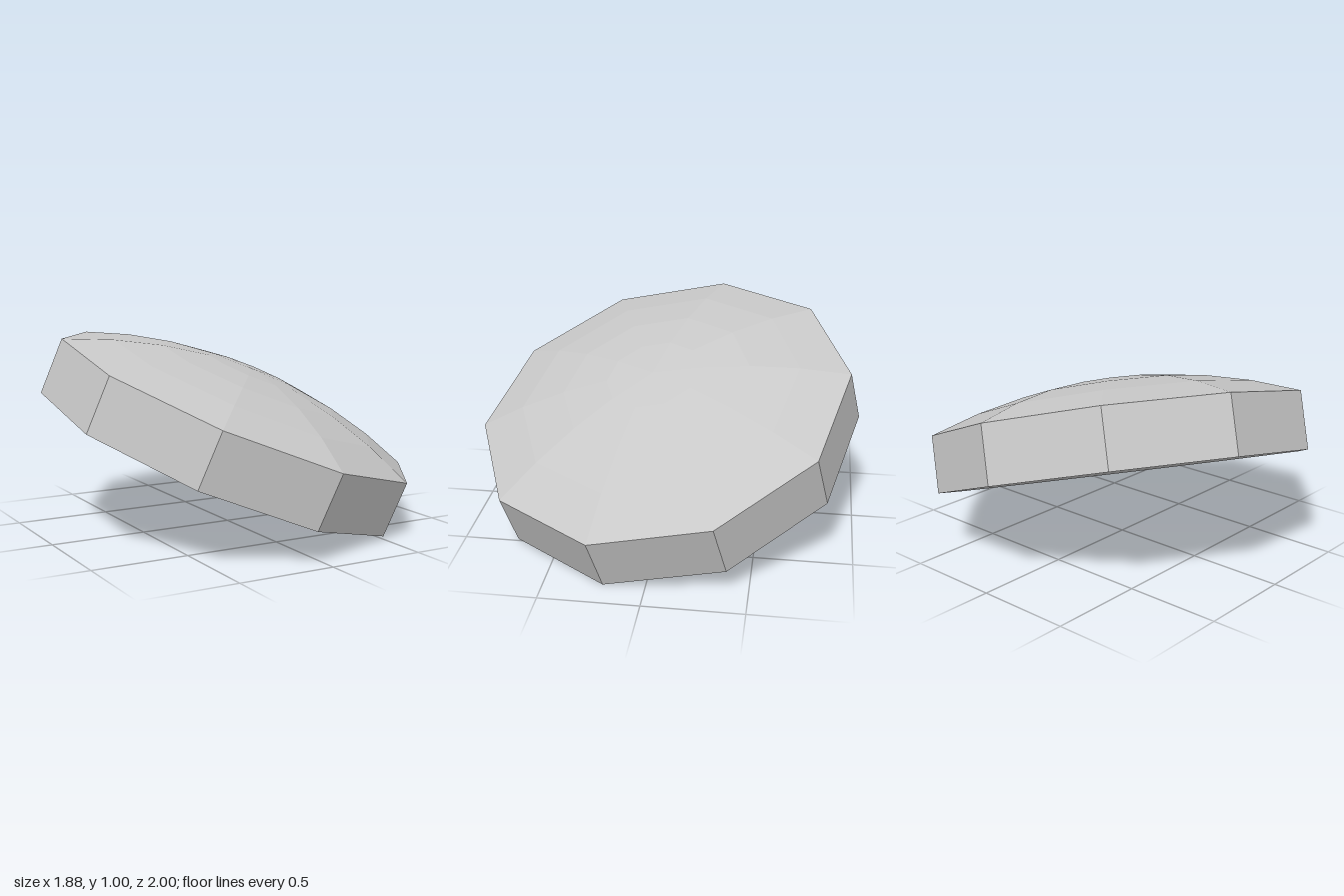
import * as THREE from 'three';

export function createModel() {
  const SIDES = 10, RADIUS = 0.993, HALF = 0.149, RISE = 0.2, RINGS = 4;
  const stone = new THREE.MeshStandardMaterial({ color: 0xc8c8c8, flatShading: true });
  stone.name = 'light stone grey';

  const model = new THREE.Group();
  model.name = 'domedDisc';

  // Tilted body: ten-sided, with one corner towards the front
  const disc = new THREE.Group();
  disc.name = 'tiltedDisc';
  disc.position.set(0, 0.503, 0);
  disc.rotation.set(0.206, 0, -0.332);
  model.add(disc);

  const addLathe = (name, profile) => {
    const points = profile.map(([r, y]) => new THREE.Vector2(r, y));
    const mesh = new THREE.Mesh(new THREE.LatheGeometry(points, SIDES), stone);
    mesh.name = name;
    disc.add(mesh);
  };

  // Flat underside and straight rim
  addLathe('underside', [[0, -HALF], [RADIUS, -HALF]]);
  addLathe('rim', [[RADIUS, -HALF], [RADIUS, HALF]]);

  // Shallow parabolic dome in evenly spaced rings
  const dome = [];
  for (let i = 0; i <= RINGS; i++) {
    const t = 1 - i / RINGS;
    dome.push([RADIUS * t, HALF + RISE * (1 - t * t)]);
  }
  addLathe('dome', dome);

  return model;
}
